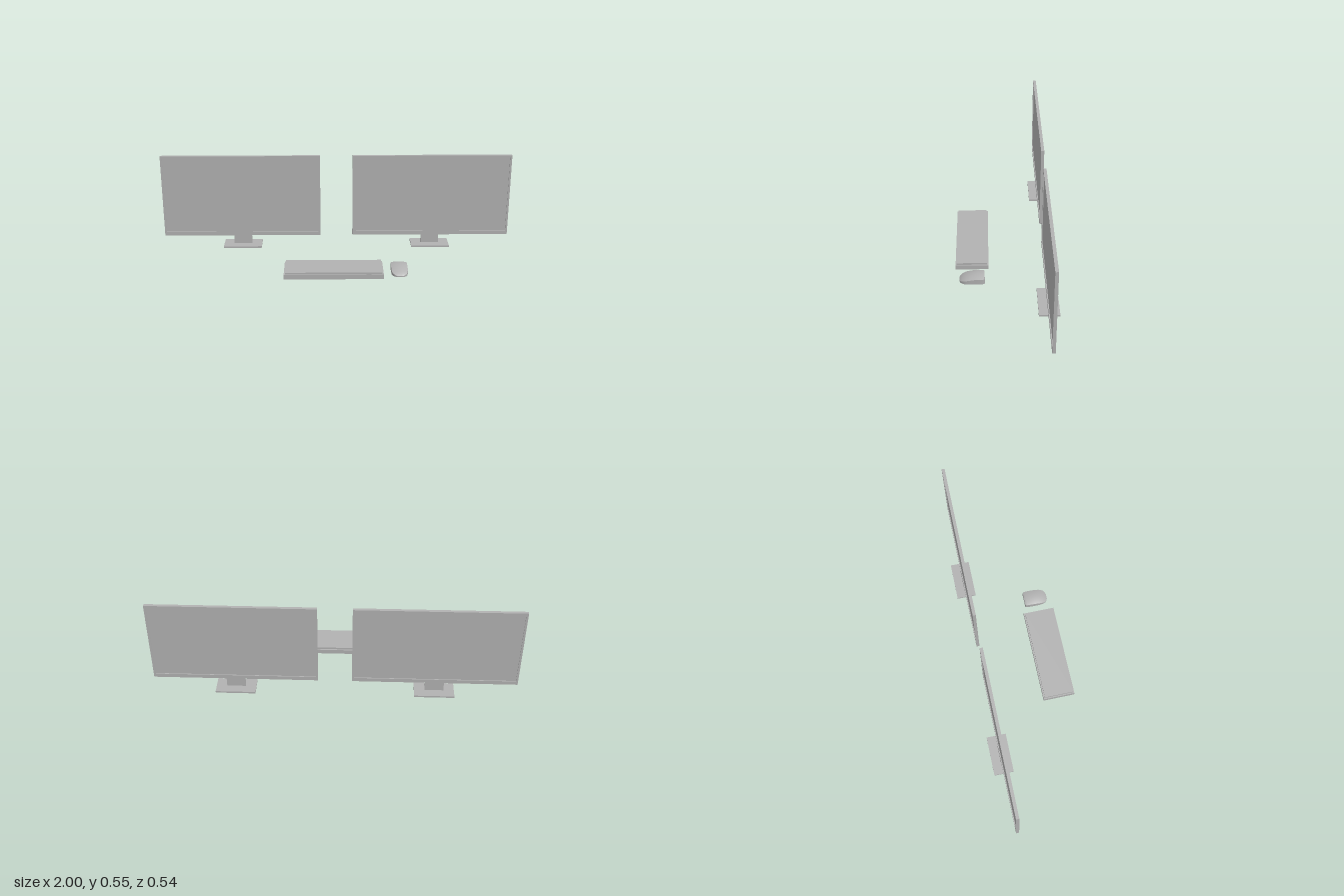
import * as THREE from 'three';
import { toCreasedNormals } from 'three/addons/utils/BufferGeometryUtils.js';

const grey = new THREE.MeshStandardMaterial({ color: 0xb2b2b2 });
grey.name = 'plain grey';

function add(group, name, geometry) {
  const mesh = new THREE.Mesh(geometry, grey);
  mesh.name = name;
  group.add(mesh);
  return mesh;
}

// Box given by its minimum and maximum on each axis
function box(group, name, [x0, x1], [y0, y1], [z0, z1]) {
  add(group, name, new THREE.BoxGeometry(x1 - x0, y1 - y0, z1 - z0))
    .position.set((x0 + x1) / 2, (y0 + y1) / 2, (z0 + z1) / 2);
}

function rectangle(path, x0, y0, x1, y1) {
  path.moveTo(x0, y0);
  path.lineTo(x1, y0);
  path.lineTo(x1, y1);
  path.lineTo(x0, y1);
  path.closePath();
  return path;
}

// Thin frame with the panel recessed on both sides, on a neck and a flat foot
function createMonitor(name, x) {
  const monitor = new THREE.Group();
  monitor.name = name;
  const w = 0.4535, bottom = 0.062, top = 0.545;
  const shape = rectangle(new THREE.Shape(), -w, bottom, w, top);
  shape.holes.push(rectangle(new THREE.Path(), -w + 0.011, bottom + 0.023, w - 0.011, top - 0.011));
  const frame = new THREE.ExtrudeGeometry(shape, { depth: 0.017, bevelEnabled: false });
  add(monitor, 'screenFrame', frame).position.z = -0.222;
  box(monitor, 'screenPanel', [-w + 0.011, w - 0.011], [bottom + 0.023, top - 0.011], [-0.217, -0.21]);
  box(monitor, 'standNeck', [-0.052, 0.052], [0.01, bottom], [-0.222, -0.212]);
  box(monitor, 'standFoot', [-0.11, 0.11], [0, 0.01], [-0.272, -0.162]);
  monitor.position.x = x;
  return monitor;
}

// Lower tray with a slightly smaller key deck on top
function createKeyboard() {
  const keyboard = new THREE.Group();
  keyboard.name = 'keyboard';
  box(keyboard, 'keyboardTray', [-0.29, 0.25], [0, 0.026], [0.092, 0.272]);
  box(keyboard, 'keyDeck', [-0.283, 0.243], [0.026, 0.037], [0.1, 0.266]);
  return keyboard;
}

// Domed shell lofted through sections: z, half width, shoulder height, crown height
function createMouse() {
  const sections = [
    [0.113, 0.036, 0.029, 0.033],
    [0.117, 0.042, 0.0295, 0.0345],
    [0.125, 0.044, 0.03, 0.036],
    [0.15, 0.045, 0.031, 0.037],
    [0.17, 0.045, 0.029, 0.036],
    [0.19, 0.045, 0.026, 0.033],
    [0.21, 0.044, 0.022, 0.028],
    [0.225, 0.041, 0.017, 0.022],
    [0.237, 0.035, 0.013, 0.0165],
    [0.245, 0.025, 0.009, 0.011],
    [0.25, 0.013, 0.006, 0.007],
  ];
  const across = [-1, -0.9, -0.65, -0.33, 0, 0.33, 0.65, 0.9, 1];
  const n = across.length + 2;
  const positions = [], index = [];
  for (const [z, w, shoulder, crown] of sections) {
    positions.push(-w, 0, z);
    for (const t of across) positions.push(t * w, shoulder + (crown - shoulder) * (1 - t * t), z);
    positions.push(w, 0, z);
  }
  for (let i = 0; i < sections.length - 1; i++) {
    for (let j = 0; j < n; j++) {
      const a = i * n + j, b = i * n + (j + 1) % n;
      index.push(a, a + n, b + n, a, b + n, b);
    }
  }
  // Flat end caps
  const last = (sections.length - 1) * n;
  for (let k = 1; k < n - 1; k++) {
    index.push(0, k, k + 1, last, last + k + 1, last + k);
  }
  const geometry = new THREE.BufferGeometry();
  geometry.setAttribute('position', new THREE.Float32BufferAttribute(positions, 3));
  geometry.setIndex(index);
  const mouse = new THREE.Group();
  mouse.name = 'mouse';
  add(mouse, 'mouseShell', toCreasedNormals(geometry, 0.7));
  mouse.position.x = 0.34;
  return mouse;
}

export function createModel() {
  const model = new THREE.Group();
  model.name = 'deskSetup';
  model.add(
    createMonitor('rightMonitor', -0.5465),
    createMonitor('leftMonitor', 0.5465),
    createKeyboard(),
    createMouse(),
  );
  return model;
}
